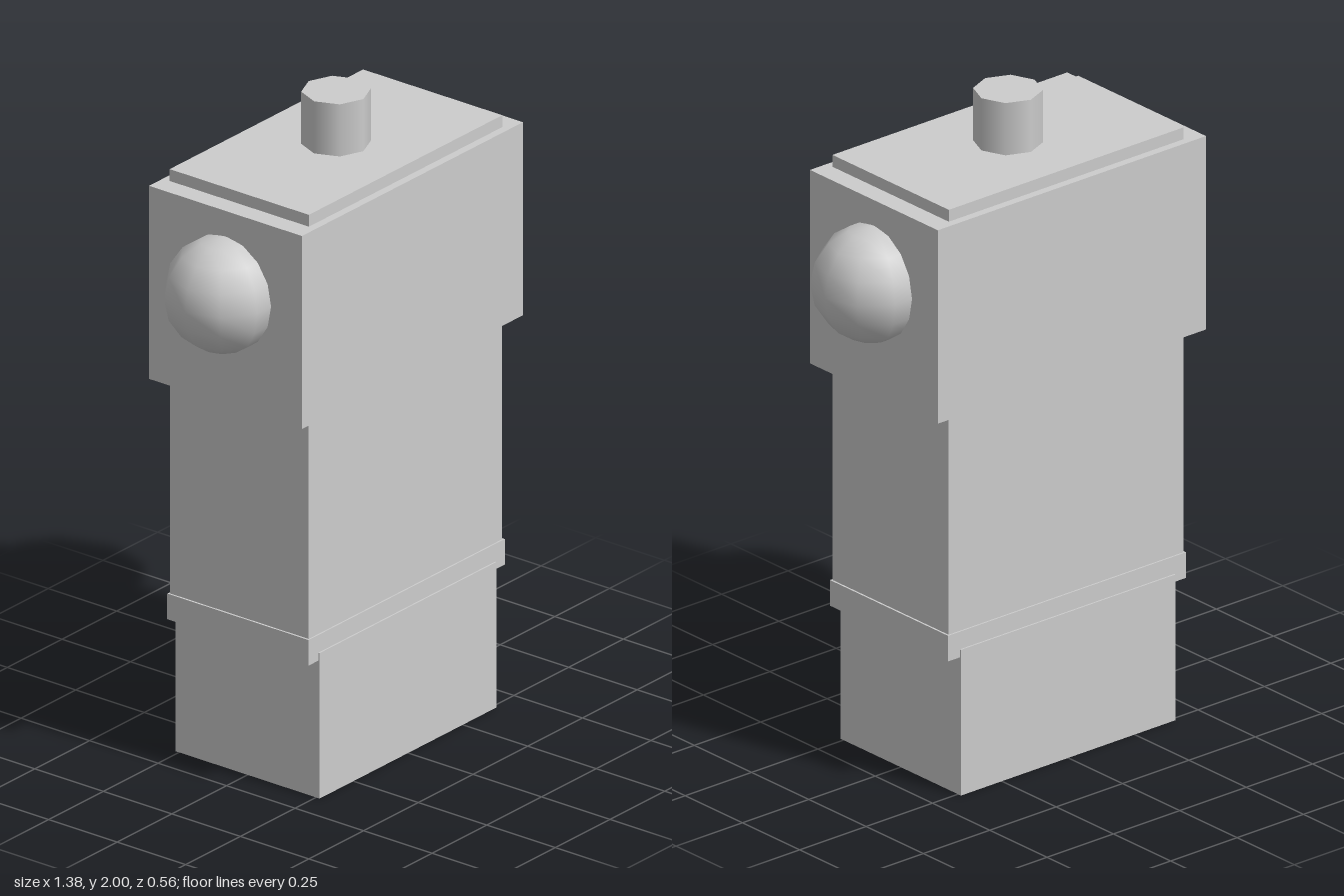
import * as THREE from 'three';

export function createModel() {
  const model = new THREE.Group();
  const grey = new THREE.MeshStandardMaterial({ color: 0xcccccc });
  grey.name = 'plain grey';

  function add(name, geometry, x = 0, y = 0, z = 0) {
    const mesh = new THREE.Mesh(geometry, grey);
    mesh.name = name;
    mesh.position.set(x, y, z);
    model.add(mesh);
  }

  // Stacked blocks: name, half width, half depth, bottom, top
  const blocks = [
    ['base', 0.404, 0.263, 0, 0.455],
    ['band', 0.448, 0.258, 0.43, 0.51],
    ['body', 0.442, 0.253, 0.5, 1.2],
    ['head', 0.505, 0.279, 1.196, 1.8],
    ['lid', 0.442, 0.254, 1.79, 1.837],
  ];
  for (const [name, hw, hd, bottom, top] of blocks) {
    add(name, new THREE.BoxGeometry(hw * 2, top - bottom, hd * 2), 0, (bottom + top) / 2);
  }

  // Eight-sided stub on the lid
  add('topStub', new THREE.CylinderGeometry(0.1, 0.1, 0.17, 8), 0, 1.915);

  // Round knobs half sunk into the sides of the head
  for (const side of [1, -1]) {
    add(side > 0 ? 'leftKnob' : 'rightKnob',
      new THREE.SphereGeometry(0.175, 10, 8), side * 0.515, 1.547);
  }
  return model;
}
